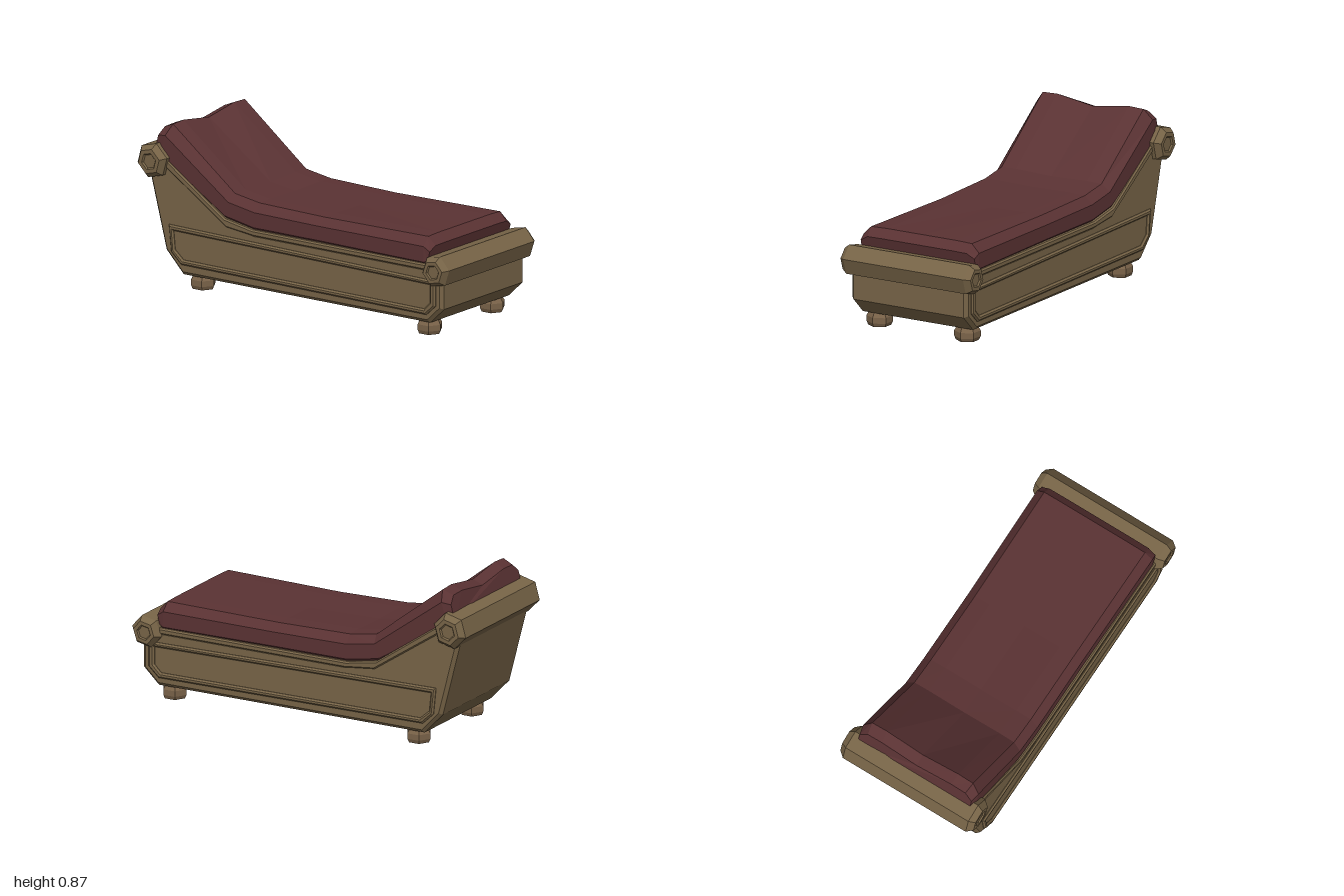
import * as THREE from 'three';

const paint = (name, color) => {
  const m = new THREE.MeshStandardMaterial({ color, flatShading: true });
  m.name = name;
  return m;
};

// Outline from [z, y] pairs; the extrusion later turns so depth runs along x
const trace = (target, pts) => {
  pts.forEach(([z, y], i) => (i ? target.lineTo(-z, y) : target.moveTo(-z, y)));
  target.closePath();
  return target;
};

// Extrude a side outline between x0 and x1 with a chamfered rim
function sideExtrude(outline, x0, x1, bevel, hole) {
  const shape = trace(new THREE.Shape(), outline);
  if (hole) shape.holes.push(trace(new THREE.Path(), hole));
  const g = new THREE.ExtrudeGeometry(shape, {
    depth: x1 - x0 - 2 * bevel, bevelEnabled: true, bevelSegments: 1,
    bevelSize: bevel, bevelThickness: bevel, bevelOffset: -bevel,
  });
  g.translate(0, 0, x0 + bevel);
  g.rotateY(Math.PI / 2);
  return g;
}

// Low-poly turned solid; profile is [radius, height] from bottom to top
const turned = (profile, sides) =>
  new THREE.LatheGeometry(profile.map(([r, y]) => new THREE.Vector2(r, y)), sides).toNonIndexed();

// Cushion: a rounded cross-section lofted along the seat and up the backrest
function cushionGeometry() {
  // bottom z, y, top z, y, dip at the centre line, width factor
  const stations = [
    [0.85, 0.40, 0.87, 0.485, 0, 0.985],
    [0.83, 0.38, 0.825, 0.53, 0, 1],
    [0.15, 0.385, 0.15, 0.522, 0.004, 0.985],
    [-0.28, 0.385, -0.27, 0.53, 0.004, 0.99],
    [-0.47, 0.42, -0.43, 0.555, 0.007, 0.99],
    [-0.89, 0.68, -0.83, 0.865, 0.033, 1],
    [-0.925, 0.71, -0.89, 0.84, 0.03, 0.97],
  ];
  // x, height share between bottom and top, dip share
  const half = [[0.34, 0, 0], [0.355, 0.12, 0], [0.355, 0.68, 0], [0.31, 0.98, 0], [0.22, 1, 0]];
  const ring = [...half, [0, 1, 1], ...half.slice().reverse().map(([x, t, d]) => [-x, t, d])];
  const n = ring.length, pos = [], idx = [];
  for (const [bz, by, tz, ty, dip, w] of stations)
    for (const [x, t, d] of ring)
      pos.push(x * w, by + (ty - by) * t - dip * d, bz + (tz - bz) * t);
  for (let s = 0; s < stations.length - 1; s++)
    for (let i = 0; i < n; i++) {
      const a = s * n + i, b = s * n + (i + 1) % n;
      idx.push(a, a + n, b, b, a + n, b + n);
    }
  const last = (stations.length - 1) * n;
  for (let i = 1; i < n - 1; i++) {
    idx.push(0, i, i + 1);
    idx.push(last, last + i + 1, last + i);
  }
  const g = new THREE.BufferGeometry();
  g.setAttribute('position', new THREE.Float32BufferAttribute(pos, 3));
  g.setIndex(idx);
  const flat = g.toNonIndexed();
  flat.computeVertexNormals();
  return flat;
}

export function createModel() {
  const model = new THREE.Group();
  model.name = 'daybed';
  const wood = paint('wood', 0x776447);
  const footWood = paint('footWood', 0x7a6349);
  const cloth = paint('redCloth', 0x5a3233);

  const add = (name, geometry, material, x = 0, y = 0, z = 0) => {
    const mesh = new THREE.Mesh(geometry, material);
    mesh.name = name;
    mesh.position.set(x, y, z);
    model.add(mesh);
    return mesh;
  };

  // Carcass with chamfered foot end and raked back
  add('body', sideExtrude([
    [0.86, 0.075], [0.95, 0.16], [0.95, 0.34], [0.88, 0.375], [-0.27, 0.375],
    [-0.45, 0.405], [-0.86, 0.68], [-0.94, 0.68], [-0.96, 0.61], [-0.85, 0.19], [-0.74, 0.075],
  ], -0.357, 0.357, 0.018), wood);

  // Side trims: panel border and the rail below the cushion
  const border = [[0.91, 0.31], [0.91, 0.175], [0.85, 0.12], [-0.74, 0.13], [-0.805, 0.19], [-0.82, 0.335]];
  const inner = [[0.875, 0.285], [0.875, 0.19], [0.835, 0.15], [-0.725, 0.158], [-0.78, 0.205], [-0.79, 0.305]];
  const rail = [
    [0.88, 0.392], [-0.28, 0.392], [-0.46, 0.424], [-0.86, 0.695],
    [-0.87, 0.655], [-0.45, 0.378], [-0.27, 0.358], [0.88, 0.358],
  ];
  for (const side of [1, -1]) {
    const [a, b] = side > 0 ? [0.335, 0.369] : [-0.369, -0.335];
    const [c, d] = side > 0 ? [0.32, 0.364] : [-0.364, -0.32];
    const label = side > 0 ? 'left' : 'right';
    add(label + 'PanelBorder', sideExtrude(border, a, b, 0.009, inner), wood);
    add(label + 'SideRail', sideExtrude(rail, c, d, 0.008), wood);
  }

  // Six-sided rolls across both ends, with chamfered and slightly sunk ends
  const roll = (name, r, h, y, z, turn) => {
    const endCap = [[0, h - 0.008], [r * 0.4, h - 0.008], [r * 0.48, h], [r * 0.72, h], [r, h - 0.032]];
    const profile = [...endCap.map(([q, k]) => [q, -k]), ...endCap.slice().reverse()];
    const g = turned(profile, 6);
    g.rotateY(turn);
    g.rotateZ(Math.PI / 2);
    add(name, g, wood, 0, y, z);
  };
  roll('footRoll', 0.088, 0.4, 0.365, 0.918, 0.2);
  roll('headRoll', 0.098, 0.41, 0.667, -0.915, 0.25);

  // Four stubby hexagonal feet
  const foot = turned([[0, 0], [0.06, 0], [0.069, 0.02], [0.069, 0.05], [0.05, 0.082], [0, 0.082]], 6);
  for (const x of [0.27, -0.27])
    for (const z of [0.805, -0.665])
      add((z > 0 ? 'front' : 'back') + (x > 0 ? 'Left' : 'Right') + 'Foot', foot, footWood, x, 0, z);

  add('cushion', cushionGeometry(), cloth);
  return model;
}
